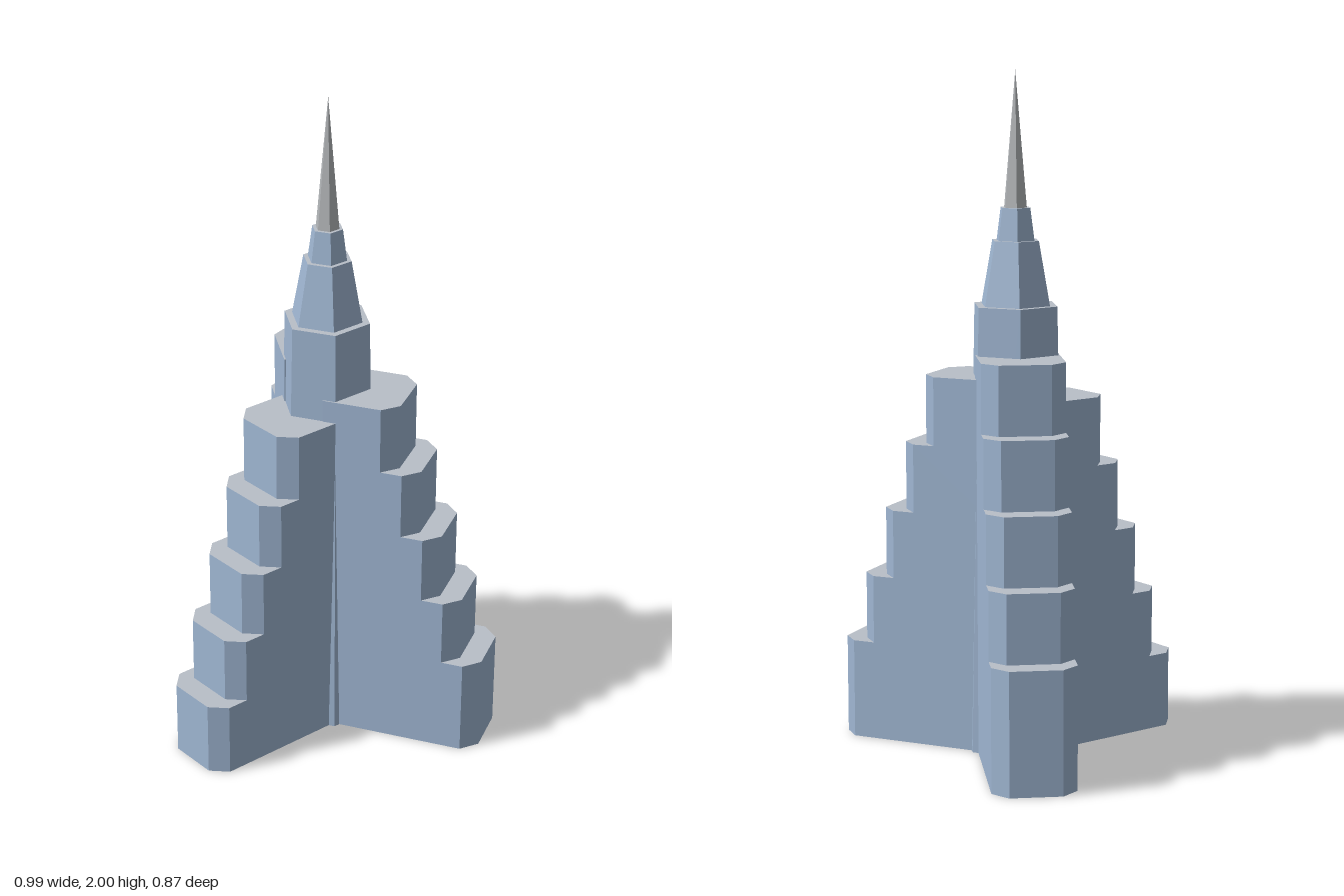
import * as THREE from 'three';

const AXIS_Z = -0.09; // the tower stands slightly behind the centre

export function createModel() {
  const glass = new THREE.MeshStandardMaterial({ color: 0x9fb6d2 });
  glass.name = 'blueGlass';
  const roof = new THREE.MeshStandardMaterial({ color: 0xb9bfc8 });
  roof.name = 'paleRoof';
  const metal = new THREE.MeshStandardMaterial({ color: 0xb4b7ba });
  metal.name = 'spireMetal';

  const model = new THREE.Group();
  model.name = 'skyscraper';
  const tower = new THREE.Group();
  tower.name = 'tower';
  tower.position.z = AXIS_Z;
  model.add(tower);

  // Chamfered wing block, running from near the axis out along +z
  function wingBlock(length, y0, y1) {
    const w = 0.122, c = 0.046, inner = 0.03;
    const shape = new THREE.Shape([
      [-w, -inner], [-w, c - length], [c - w, -length],
      [w - c, -length], [w, c - length], [w, -inner],
    ].map(([x, y]) => new THREE.Vector2(x, y)));
    const geo = new THREE.ExtrudeGeometry(shape, { depth: y1 - y0, bevelEnabled: false });
    geo.rotateX(-Math.PI / 2);
    geo.translate(0, y0, 0);
    // Caps come first: underside, then roof, then the walls
    const caps = geo.groups[0].count;
    const total = geo.attributes.position.count;
    geo.clearGroups();
    geo.addGroup(0, caps / 2, 0);
    geo.addGroup(caps / 2, caps / 2, 1);
    geo.addGroup(caps, total - caps, 0);
    return new THREE.Mesh(geo, [glass, roof]);
  }

  // Three stepped wings, each one a little taller than the last
  const lengths = [0.525, 0.458, 0.39, 0.322, 0.255];
  const wings = [
    { name: 'frontWing', turn: 0, base: 0.228 },
    { name: 'leftWing', turn: 1, base: 0.296 },
    { name: 'rightWing', turn: 2, base: 0.364 },
  ];
  for (const { name, turn, base } of wings) {
    const wing = new THREE.Group();
    wing.name = name;
    wing.rotation.y = turn * Math.PI * 2 / 3;
    lengths.forEach((length, i) => {
      const y1 = base + i * 0.204;
      const block = wingBlock(length, i ? y1 - 0.204 : 0, y1);
      block.name = `${name}Tier${i + 1}`;
      wing.add(block);
    });
    tower.add(wing);
  }

  // Tapered six-sided tiers of the core, ending in the spire
  function hexTier(name, r0, r1, y0, y1, materials) {
    const geo = new THREE.CylinderGeometry(r1, r0, y1 - y0, 6).toNonIndexed();
    geo.computeVertexNormals();
    geo.translate(0, (y0 + y1) / 2, 0);
    const mesh = new THREE.Mesh(geo, materials);
    mesh.name = name;
    tower.add(mesh);
  }
  const clad = [glass, roof, glass];
  hexTier('core', 0.16, 0.132, 0, 1.322, clad);
  hexTier('lowerCrown', 0.109, 0.074, 1.322, 1.51, clad);
  hexTier('upperCrown', 0.06, 0.047, 1.51, 1.605, clad);
  hexTier('spire', 0.036, 0, 1.605, 2, [metal, metal, metal]);

  return model;
}
